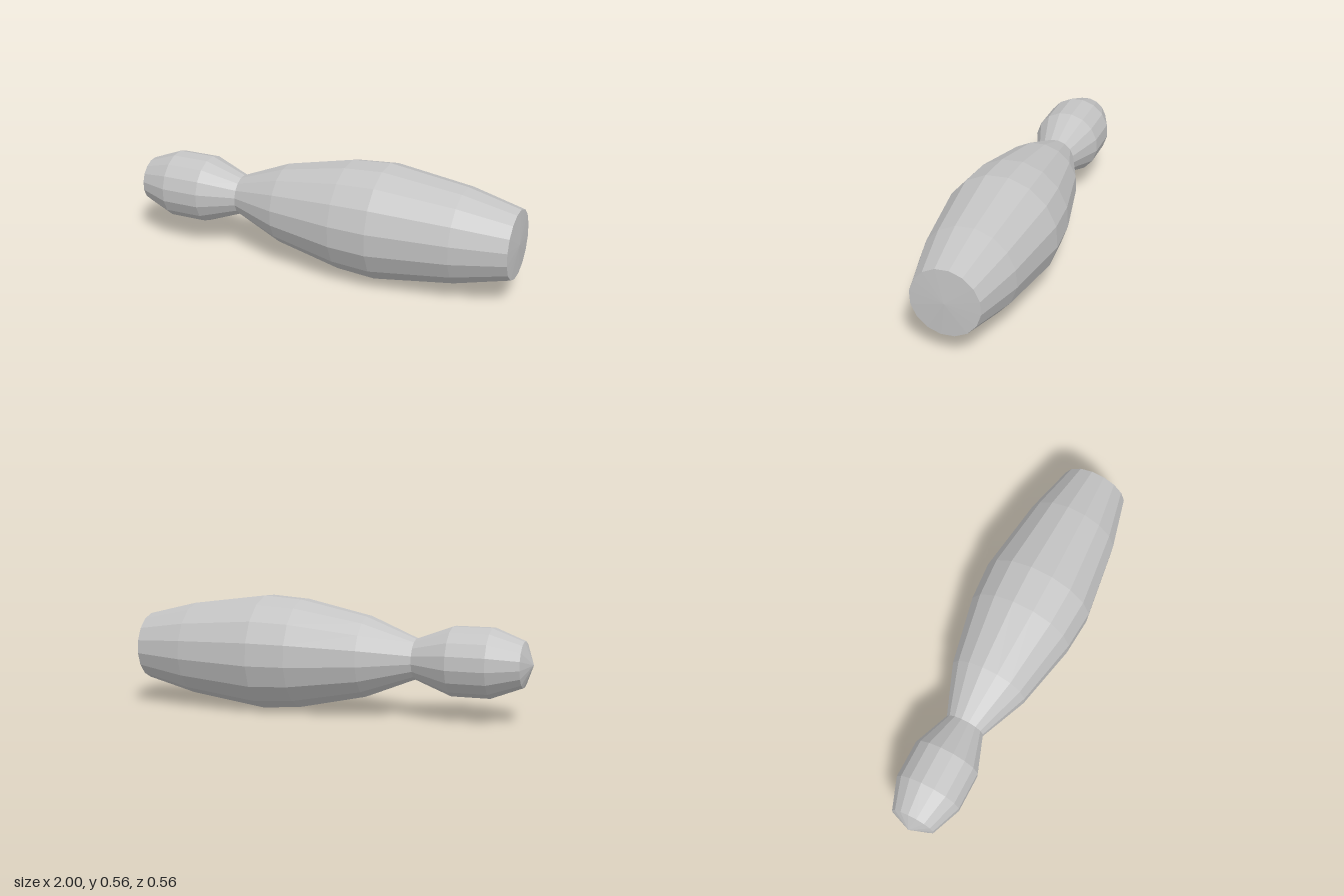
import * as THREE from 'three';

const SIDES = 16;
const AXIS_HEIGHT = 0.282;
const TURN = THREE.MathUtils.degToRad(14.4);

export function createModel() {
  const group = new THREE.Group();
  group.name = 'pin';

  const grey = new THREE.MeshStandardMaterial({ color: 0xc4c4c4, flatShading: true });
  grey.name = 'light grey';

  // Faceted turned part lying along x; profile is a list of [x, radius]
  function turned(name, profile) {
    const points = profile.map(([x, r]) => new THREE.Vector2(r, x));
    const geometry = new THREE.LatheGeometry(points, SIDES, TURN, Math.PI * 2);
    geometry.rotateZ(-Math.PI / 2);
    geometry.translate(0, AXIS_HEIGHT, 0);
    const mesh = new THREE.Mesh(geometry, grey);
    mesh.name = name;
    group.add(mesh);
  }

  // Head with a shallow pointed crown
  turned('head', [
    [-1, 0], [-0.957, 0.11], [-0.807, 0.168], [-0.618, 0.168], [-0.435, 0.099],
  ]);

  // Body swelling from the neck to the belly, then tapering
  turned('body', [
    [-0.435, 0.099], [-0.19, 0.198], [0.147, 0.27], [0.34, 0.284], [0.73, 0.232], [0.991, 0.168],
  ]);

  // Very slightly domed end face
  turned('base', [[0.991, 0.168], [1, 0]]);

  return group;
}
